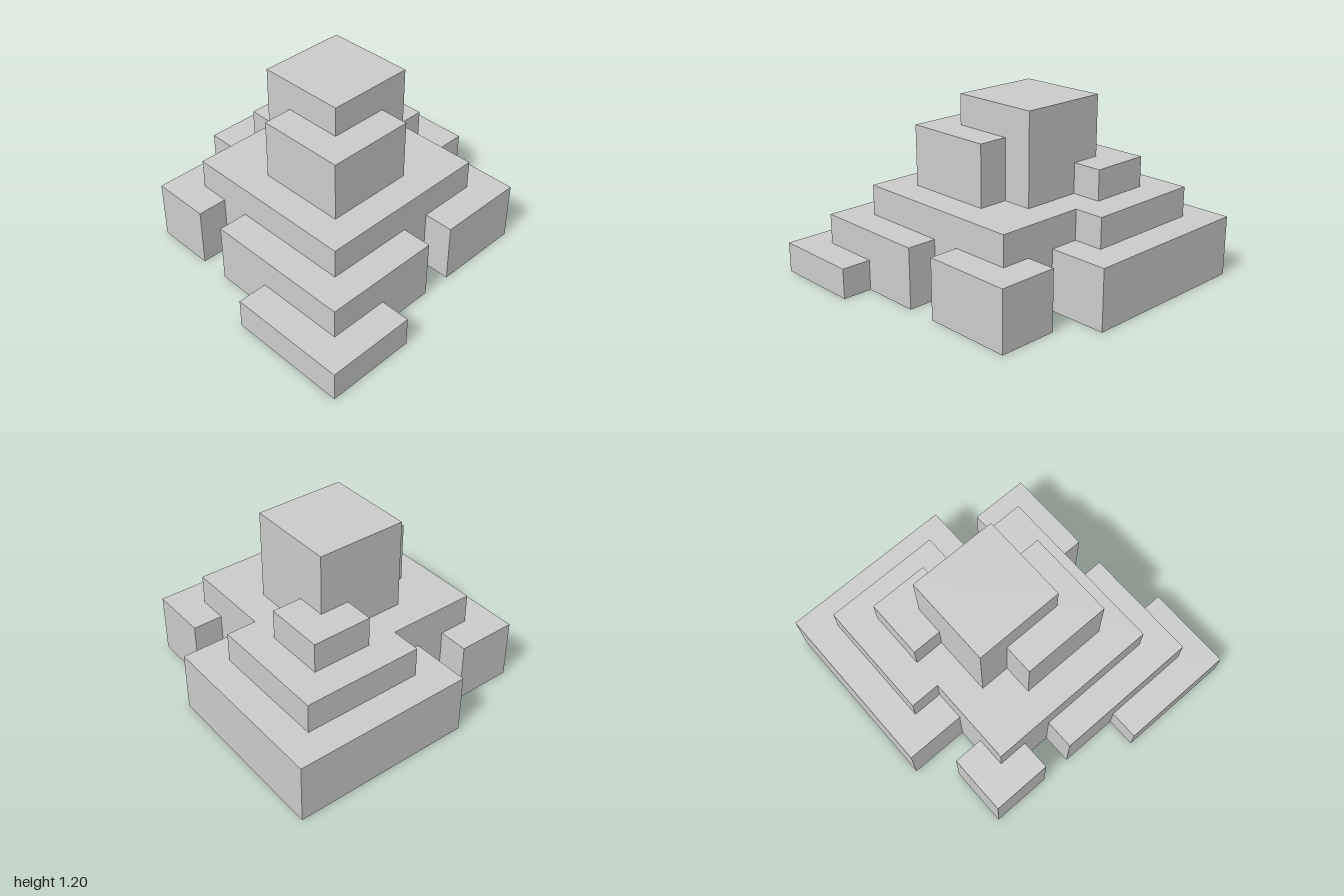
import * as THREE from 'three';

const material = new THREE.MeshStandardMaterial({ color: 0xcccccc, flatShading: true });

export function createModel() {
  const model = new THREE.Group();
  model.name = 'steppedBlocks';

  // Axis-aligned block given by its x, y and z ranges
  function block(name, [x0, x1], [y0, y1], [z0, z1]) {
    const geometry = new THREE.BoxGeometry(x1 - x0, y1 - y0, z1 - z0);
    const mesh = new THREE.Mesh(geometry, material);
    mesh.position.set((x0 + x1) / 2, (y0 + y1) / 2, (z0 + z1) / 2);
    mesh.name = name;
    model.add(mesh);
  }

  // Main terrace: a square with an offset back-left wing, extruded upwards
  const plan = [
    [-0.6, 0.6], [0.6, 0.6], [0.6, 0], [0.8, 0],
    [0.8, -0.8], [0, -0.8], [0, -0.6], [-0.6, -0.6],
  ];
  const outline = new THREE.Shape(plan.map(([x, z]) => new THREE.Vector2(x, -z)));
  const terraceGeometry = new THREE.ExtrudeGeometry(outline, { depth: 0.6, bevelEnabled: false });
  terraceGeometry.rotateX(-Math.PI / 2);
  const terrace = new THREE.Mesh(terraceGeometry, material);
  terrace.name = 'mainTerrace';
  model.add(terrace);

  // Ground-level blocks around the terrace
  block('backPlinth', [-0.2, 1], [0, 0.4], [-1, 0.2]);
  block('frontPlinth', [-0.8, 0], [0, 0.4], [-0.2, 0.8]);
  block('lowStep', [-1, -0.4], [0, 0.2], [0.2, 1]);
  block('frontCornerBlock', [0.2, 0.8], [0, 0.4], [0.4, 0.8]);
  block('backCornerBlock', [-0.8, -0.4], [0, 0.4], [-0.8, -0.4]);

  // Blocks standing on the terrace
  block('tower', [-0.2, 0.4], [0.6, 1.2], [-0.4, 0.2]);
  block('towerShoulder', [-0.4, 0.2], [0.6, 1], [-0.2, 0.4]);
  block('towerStep', [0.2, 0.6], [0.6, 0.8], [-0.6, -0.2]);

  return model;
}
